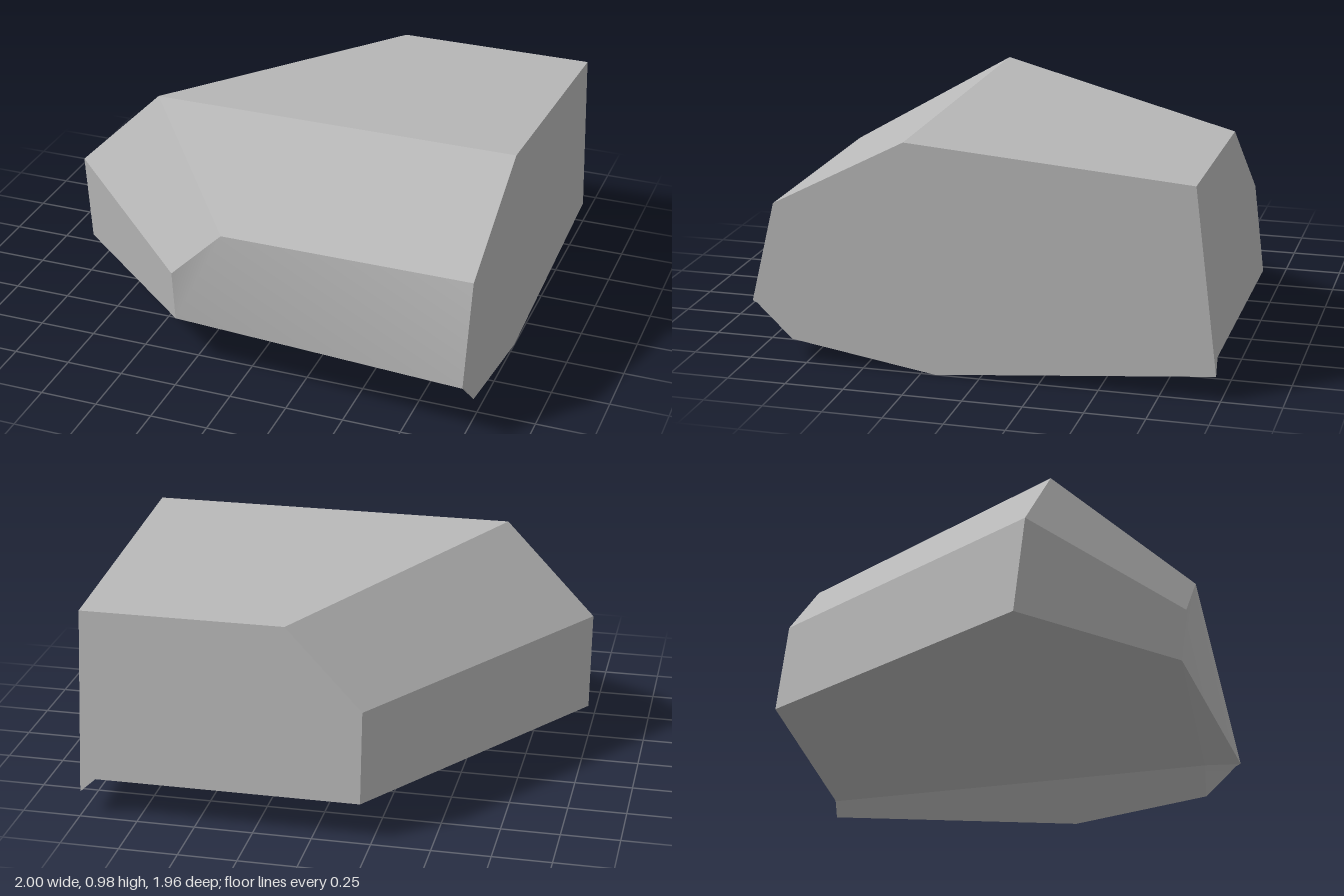
import * as THREE from 'three';

export function createModel() {
  const model = new THREE.Group();
  model.name = 'facetedBlock';
  const stone = new THREE.MeshStandardMaterial({ color: 0xb8b8b8 });
  stone.name = 'stoneGrey';

  // Named corners of the block
  const P = {
    ridge: [-0.6, 0.985, 0.31], ridgeEnd: [1, 0.985, 0.31],
    back: [0.13, 0.89, -0.885], backEnd: [1, 0.89, -0.885],
    brow: [-0.08, 0.69, 0.875], browEnd: [1, 0.69, 0.875],
    side: [-1, 0.585, 0.26], sideBack: [-0.2, 0.56, -0.927],
    chin: [-0.32, 0.45, 0.847], chinLow: [-0.32, 0.215, 0.82],
    sideLow: [-1, 0.17, 0.21], backLow: [-0.2, 0.17, -0.973],
    lip: [1, 0.26, 0.98], lipLow: [1, 0.25, 0.96],
    flareFront: [0.88, 0.215, 0.82], flareMid: [0.83, 0.17, 0.2], flareBack: [0.94, 0.17, -0.973],
    toeFront: [1, 0.105, 0.81], toe: [1, 0.005, 0.19], toeBack: [1, 0.11, -0.98],
  };

  // Each face is a fan around its first corner, smooth within, sharp at its border
  const inside = new THREE.Vector3(0.97, 0.4, 0);
  function face(name, corners) {
    const points = corners.split(' ').map((key) => new THREE.Vector3(...P[key]));
    const normal = new THREE.Vector3();
    const centre = new THREE.Vector3();
    points.forEach((p, i) => {
      const next = points[(i + 1) % points.length];
      normal.add(p.clone().sub(inside).cross(next.clone().sub(inside)));
      centre.addScaledVector(p, 1 / points.length);
    });
    const outward = normal.dot(centre.sub(inside)) > 0;
    const index = [];
    for (let i = 1; i < points.length - 1; i++) {
      index.push(0, outward ? i : i + 1, outward ? i + 1 : i);
    }
    const geometry = new THREE.BufferGeometry().setFromPoints(points);
    geometry.setIndex(index);
    geometry.computeVertexNormals();
    const mesh = new THREE.Mesh(geometry, stone);
    mesh.name = name;
    model.add(mesh);
  }

  // Upper faces
  face('topFace', 'ridge ridgeEnd backEnd back');
  face('upperFrontFace', 'ridge brow browEnd ridgeEnd');
  face('upperSideFace', 'ridge back sideBack side');
  face('cornerFace', 'ridge side chin brow');

  // Walls
  face('frontFace', 'brow chin chinLow lip browEnd');
  face('frontSideFace', 'side sideLow chinLow chin');
  face('sideFace', 'side sideBack backLow sideLow');
  face('backFace', 'back backEnd toeBack flareBack backLow sideBack');
  face('endFace', 'ridgeEnd browEnd lip lipLow toeFront toe toeBack backEnd');

  // Underside and the flare along the end face
  face('bottomFace', 'sideLow flareMid flareBack backLow');
  face('bottomFrontFace', 'sideLow chinLow flareFront flareMid');
  face('bottomLipFace', 'chinLow lip flareFront');
  face('flareFrontFace', 'flareFront lip lipLow toeFront');
  face('flareMidFace', 'flareFront toeFront toe flareMid');
  face('flareBackFace', 'flareMid toe toeBack flareBack');

  return model;
}
